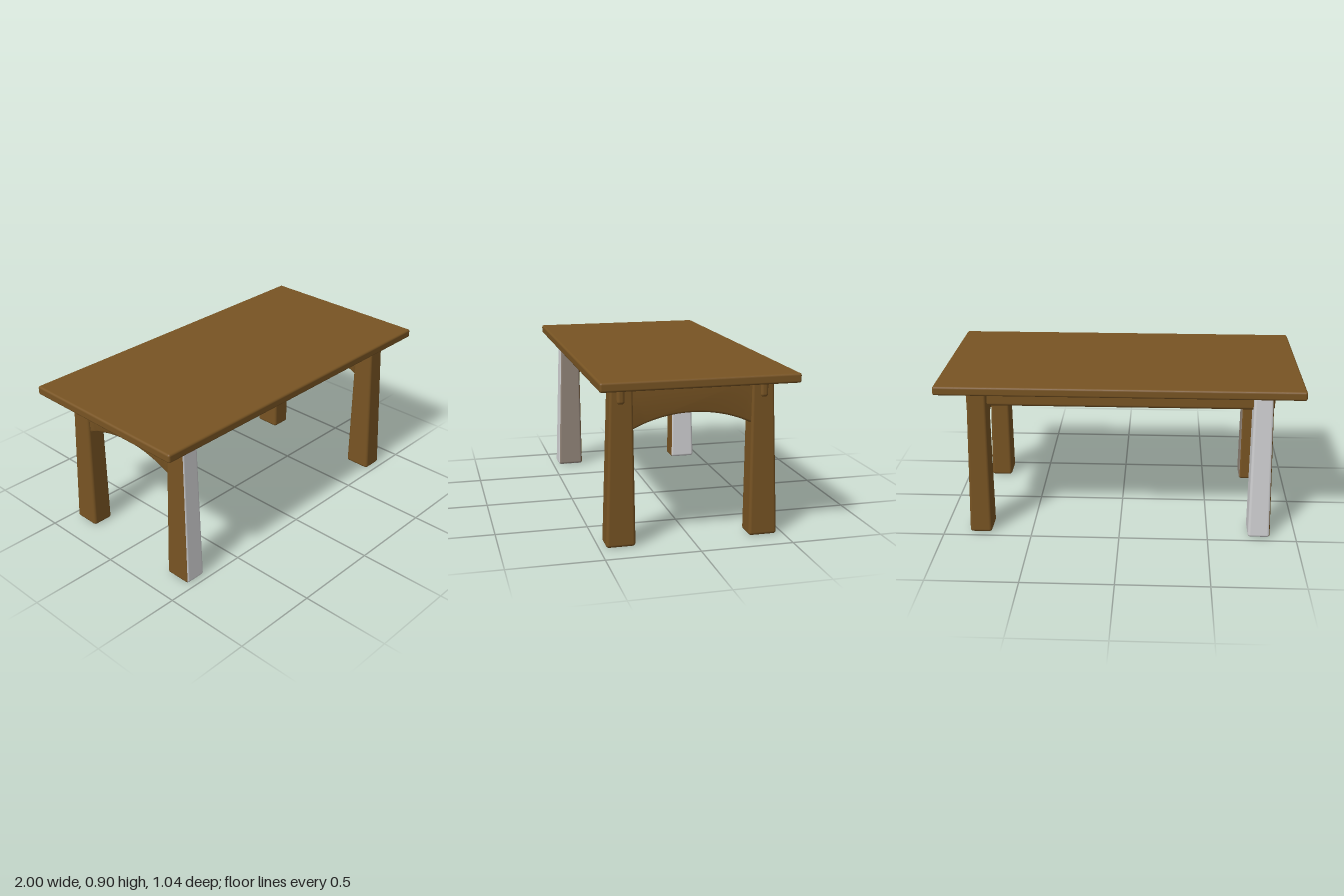
import * as THREE from 'three';
import { RoundedBoxGeometry } from 'three/addons/geometries/RoundedBoxGeometry.js';
import { toCreasedNormals } from 'three/addons/utils/BufferGeometryUtils.js';

const material = (name, color) => {
  const m = new THREE.MeshStandardMaterial({ color });
  m.name = name;
  return m;
};

export function createModel() {
  const wood = material('brown wood', 0x785423);
  const bare = material('bare grey', 0xd4d4d6);
  const worn = material('worn grey brown', 0x95877b);
  const table = new THREE.Group();
  table.name = 'table';

  const add = (name, geometry, mat, x = 0, y = 0, z = 0) => {
    const mesh = new THREE.Mesh(geometry, mat);
    mesh.name = name;
    mesh.position.set(x, y, z);
    table.add(mesh);
    return mesh;
  };

  // Slab with softened edges
  add('tableTop', new RoundedBoxGeometry(2, 0.05, 1.036, 3, 0.012), wood, 0, 0.875, 0);

  // Tapered leg: outer faces lean inward toward the top
  const legHeight = 0.87;
  const legGeometry = (sx, sz) => {
    const g = new RoundedBoxGeometry(0.125, legHeight, 0.157, 3, 0.017);
    g.translate(sx * 0.7915, legHeight / 2, sz * 0.3865);
    const p = g.attributes.position;
    for (let i = 0; i < p.count; i++) {
      const t = p.getY(i) / legHeight;
      const u = (Math.abs(p.getX(i)) - 0.729) / 0.125;
      const v = (Math.abs(p.getZ(i)) - 0.308) / 0.157;
      p.setX(i, p.getX(i) - sx * 0.02 * u * t);
      p.setZ(i, p.getZ(i) + sz * t * (0.009 * (1 - v) - 0.032 * v));
    }
    return g;
  };
  // Face order: +x, -x, top, bottom, +z, -z
  add('frontLeftLeg', legGeometry(1, 1), wood);
  add('backLeftLeg', legGeometry(1, -1), wood);
  add('frontRightLeg', legGeometry(-1, 1), [worn, wood, wood, bare, bare, wood]);
  add('backRightLeg', legGeometry(-1, -1), [bare, wood, wood, bare, wood, bare]);

  // Long rails whose rounded ends pass through the legs
  for (const s of [1, -1]) {
    add(s > 0 ? 'frontRail' : 'backRail',
      new RoundedBoxGeometry(1.692, 0.115, 0.044, 4, 0.018), wood, 0, 0.8075, s * 0.38);
  }

  // Arched end aprons
  const arch = new THREE.Shape();
  arch.moveTo(-0.335, 0.86);
  arch.lineTo(-0.335, 0.61);
  arch.lineTo(-0.31, 0.617);
  arch.bezierCurveTo(-0.12, 0.71, 0.12, 0.71, 0.31, 0.617);
  arch.lineTo(0.335, 0.61);
  arch.lineTo(0.335, 0.86);
  arch.closePath();
  const bevel = 0.012;
  const archGeometry = toCreasedNormals(new THREE.ExtrudeGeometry(arch, {
    depth: 0.08 - 2 * bevel, curveSegments: 24,
    bevelThickness: bevel, bevelSize: bevel, bevelOffset: -bevel, bevelSegments: 3,
  }).translate(0, 0, -0.04 + bevel).rotateY(Math.PI / 2), 0.7);
  for (const s of [1, -1]) {
    add(s > 0 ? 'leftApron' : 'rightApron', archGeometry, wood, s * 0.785, 0, 0);
  }

  // Small worn patches as thin plates
  const patch = (points) => new THREE.ExtrudeGeometry(
    new THREE.Shape(points.map(([x, y]) => new THREE.Vector2(x, y))),
    { depth: 0.003, bevelEnabled: false });
  const legPatch = add('legTopPatch',
    patch([[-0.05, 0.05], [-0.035, 0.015], [0, -0.01], [0, 0.05]]), worn, -0.742, 0.8, 0.4345);
  legPatch.rotation.x = -0.037;
  add('railPatch',
    patch([[-0.09, -0.03], [0, -0.03], [0, 0.02], [-0.04, 0]]), bare, 0.73, 0.8, 0.3565);

  return table;
}
